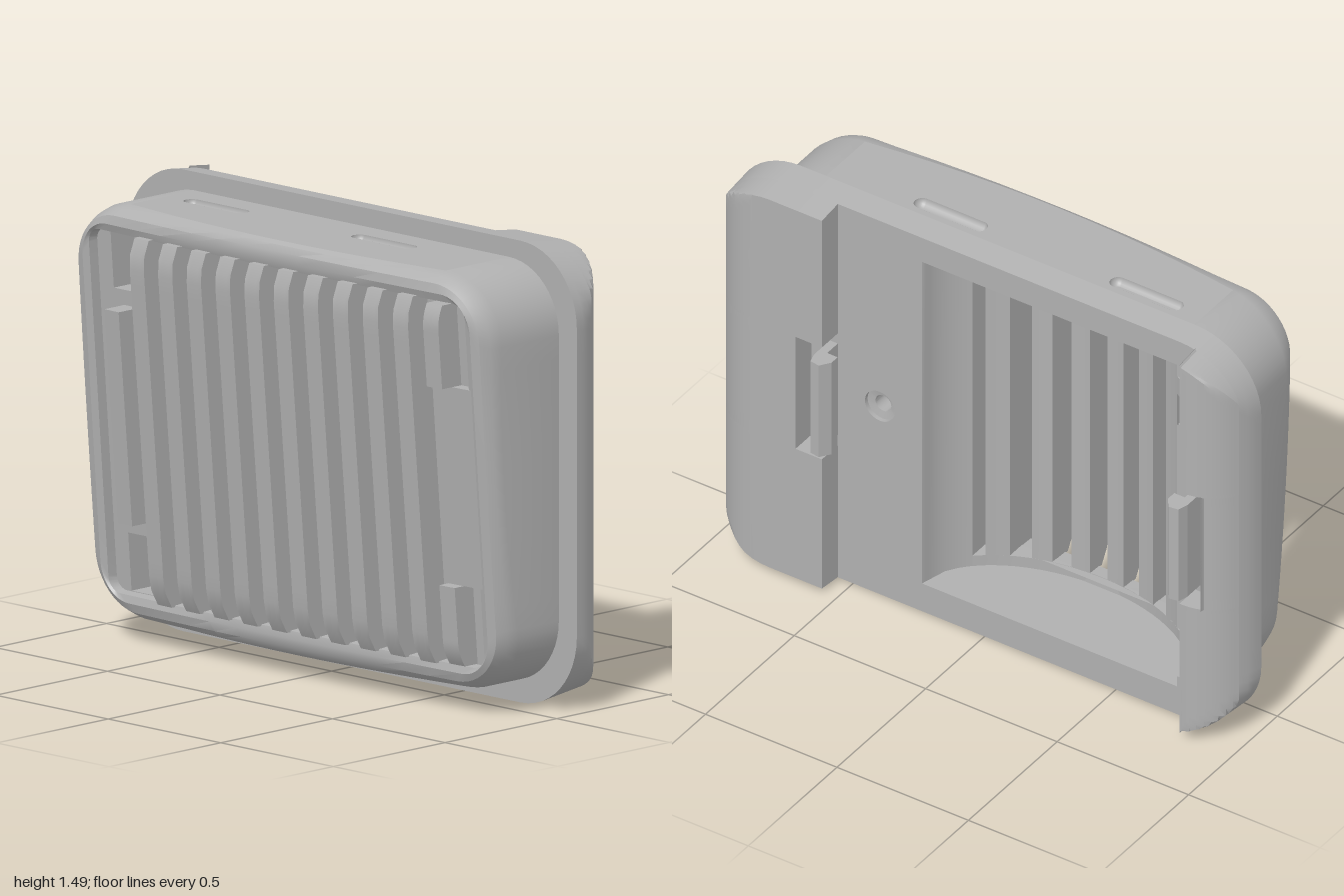
import * as THREE from 'three';
import { toCreasedNormals } from 'three/addons/utils/BufferGeometryUtils.js';

const SEG = 12, EDGE = 12, STRIDE = SEG + EDGE;

// Rounded rectangle in the z-y plane, as [z, y] pairs
function outline(hz, hy, r, yc) {
  const pts = [], sz = [1, -1, -1, 1], sy = [1, 1, -1, -1];
  const corner = (i, k) => {
    const a = (i + k / SEG) * Math.PI / 2;
    return [sz[i] * (hz - r) + r * Math.cos(a), yc + sy[i] * (hy - r) + r * Math.sin(a)];
  };
  for (let i = 0; i < 4; i++) {
    for (let k = 0; k <= SEG; k++) pts.push(corner(i, k));
    const a = corner(i, SEG), b = corner((i + 1) % 4, 0);
    for (let j = 1; j < EDGE; j++) {
      pts.push([a[0] + (b[0] - a[0]) * j / EDGE, a[1] + (b[1] - a[1]) * j / EDGE]);
    }
  }
  return pts;
}

// Skin over rings of [x, y, z] points, optionally capped on the +x end
function loft(rings, cap = false, skip = () => false) {
  const n = rings[0].length, index = [];
  for (let i = 0; i < rings.length - 1; i++) {
    for (let j = 0; j < n; j++) {
      if (skip(i, j)) continue;
      const a = i * n + j, b = i * n + (j + 1) % n;
      index.push(a, a + n, b, b, a + n, b + n);
    }
  }
  const last = (rings.length - 1) * n;
  if (cap) for (let j = 1; j < n - 1; j++) index.push(last, last + j + 1, last + j);
  const g = new THREE.BufferGeometry();
  g.setAttribute('position', new THREE.Float32BufferAttribute(rings.flat(2), 3));
  g.setIndex(index);
  return toCreasedNormals(g, 0.5);
}

// Block whose inner and outer x faces follow functions of (y, z)
function block(z0, z1, y0, y1, inner, outer, ny = 1, nz = 1) {
  const g = new THREE.BoxGeometry(1, 1, 1, 1, ny, nz), p = g.attributes.position;
  for (let i = 0; i < p.count; i++) {
    const y = y0 + (p.getY(i) + 0.5) * (y1 - y0), z = z0 + (p.getZ(i) + 0.5) * (z1 - z0);
    p.setXYZ(i, p.getX(i) > 0 ? inner(y, z) : outer(y, z), y, z);
  }
  g.computeVertexNormals();
  return g;
}

// Surfaces: sloped panel, rim crest, rim edge, curved cavity
const panelX = (y) => -0.107 - 0.08 * y;
const crestX = (y, z) => -0.167 - 0.08 * y + 0.025 * z * z;
const edgeX = (y, z) => crestX(y, z) + 0.035 + z * z * (0.02 + 0.06 * ((y - 0.75) / 0.68) ** 2);
const cavityX = (y, z) => 0.18 - 0.3 * Math.sqrt(Math.max(0, 1 - ((z + 0.255) / 0.485) ** 2));
const plateX = () => 0.18;

// Flange section: rounded rectangle cut by quarter-round ends
function flangeRing(x) {
  const s = (x - 0.09) / 0.18, hz = 0.82 + 0.18 * Math.sqrt(Math.max(0, 1 - s * s));
  return outline(1, 0.745 - 0.022 * s, 0.25, 0.745).map(([z, y]) => [x, y, Math.max(-hz, Math.min(hz, z))]);
}

export function createModel() {
  const model = new THREE.Group();
  const grey = new THREE.MeshStandardMaterial({ color: 0xb0b0b0, side: THREE.DoubleSide });
  grey.name = 'grey plastic';
  const add = (name, geometry) => {
    const m = new THREE.Mesh(geometry, grey);
    m.name = name;
    model.add(m);
    return m;
  };

  // Outer shell: recess wall, rounded rim, side wall, flange
  const bodyRing = (inset, r, fx) => outline(0.92 - inset, 0.68 - inset, r, 0.75)
    .map(([z, y]) => [fx(y, z), y, z]);
  const rings = [
    bodyRing(0.09, 0.04, (y) => panelX(y) + 0.03),
    bodyRing(0.085, 0.05, (y, z) => crestX(y, z) + 0.008),
    bodyRing(0.06, 0.12, crestX),
    bodyRing(0.03, 0.18, (y, z) => crestX(y, z) * 0.88 + edgeX(y, z) * 0.12),
    bodyRing(0.01, 0.21, (y, z) => crestX(y, z) * 0.5 + edgeX(y, z) * 0.5),
    bodyRing(0, 0.22, edgeX),
    bodyRing(0, 0.22, () => 0.09),
    ...[0.09, 0.12, 0.15, 0.18].map(flangeRing),
  ];
  const isFlatSide = (j) => [0, 2].some((e) => j >= e * STRIDE + SEG && j < (e + 1) * STRIDE);
  add('shell', loft(rings, false, (i, j) => i === 5 && isFlatSide(j)));

  // Top and bottom walls with two rounded grooves each
  const R = 0.0275, H = 0.108, GX = -0.027;
  const profile = [];
  for (let k = 0; k <= 16; k++) {
    const a = -Math.PI / 2 + k * Math.PI / 16;
    profile.push(new THREE.Vector2(R * Math.cos(a), R * Math.sin(a) + (k < 8 ? -H : H)));
  }
  for (const [name, y] of [['top', 1.43], ['bottom', 0.07]]) {
    const pts = [];
    for (let j = 0; j <= EDGE; j++) {
      const z = 0.7 - 1.4 * j / EDGE;
      pts.push(new THREE.Vector2(edgeX(y, z), -z));
    }
    pts.push(new THREE.Vector2(0.09, 0.7), new THREE.Vector2(0.09, -0.7));
    const wall = new THREE.Shape(pts);
    for (const z of [-0.485, 0.26]) {
      const hole = new THREE.Path();
      hole.absarc(GX, -z + H, R, 0, Math.PI);
      hole.absarc(GX, -z - H, R, Math.PI, 2 * Math.PI);
      hole.closePath();
      wall.holes.push(hole);
      const groove = add(name + 'Groove', new THREE.LatheGeometry(profile, 12, -Math.PI / 2, Math.PI).rotateX(Math.PI / 2));
      groove.position.set(GX, y, z);
      if (name === 'bottom') groove.rotation.z = Math.PI;
    }
    add(name + 'Wall', new THREE.ShapeGeometry(wall, 10).rotateX(-Math.PI / 2).translate(0, y, 0));
  }

  // Mounting plate with the cavity opening and screw hole
  const plate = new THREE.Shape(flangeRing(0.18).map(([, y, z]) => new THREE.Vector2(-z, y)));
  const opening = [[0.23, 0.12], [0.23, 1.385], [-0.74, 1.385], [-0.74, 1.34], [-0.77, 1.34], [-0.77, 1.15],
    [-0.74, 1.15], [-0.74, 0.35], [-0.77, 0.35], [-0.77, 0.16], [-0.74, 0.16], [-0.74, 0.12]];
  plate.holes.push(new THREE.Path(opening.map(([z, y]) => new THREE.Vector2(-z, y))));
  plate.holes.push(new THREE.Path().absarc(-0.39, 0.75, 0.057, 0, 2 * Math.PI));
  add('mountingPlate', new THREE.ShapeGeometry(plate, 12).rotateY(Math.PI / 2)).position.x = 0.18;
  const screw = [[0.03, -0.165], [0.03, 0.16], [0.057, 0.165], [0.057, 0.18]].map(([r, x]) => new THREE.Vector2(r, x));
  add('screwHole', toCreasedNormals(new THREE.LatheGeometry(screw, 24).rotateZ(-Math.PI / 2), 0.5)).position.set(0, 0.75, 0.39);

  // Raised end lugs, notched in the middle for the clips
  const lugRings = Array.from({ length: 9 }, (_, i) => flangeRing(0.18 + 0.09 * Math.sin(i * Math.PI / 16)));
  for (const [sign, wall, notch] of [[1, 0.55, 0.65], [-1, 0.81, 0.89]]) {
    for (const [y0, y1, zMin] of [[0, 0.53, wall], [0.53, 0.97, notch], [0.97, 2, wall]]) {
      const clipped = lugRings.map((ring) => ring.map(([x, y, z]) =>
        [x, Math.min(y1, Math.max(y0, y)), sign * Math.max(zMin, sign * z)]));
      add('endLug', loft(clipped, true));
    }
  }

  // Snap clips
  const hook = [[0.17, 0.58], [0.17, 0.55], [0.24, 0.55], [0.24, 0.51], [0.275, 0.51], [0.31, 0.535], [0.305, 0.57], [0.27, 0.58]];
  for (const flip of [false, true]) {
    const s = new THREE.Shape(hook.map(([x, z]) => new THREE.Vector2(x, flip ? 0.26 + z : -z)));
    add('snapClip', new THREE.ExtrudeGeometry(s, { depth: 0.36, bevelEnabled: false }).rotateX(-Math.PI / 2).translate(0, 0.57, 0));
  }

  // Cavity floor and ceiling
  for (const [y0, y1] of [[0.1, 0.12], [1.385, 1.405]]) {
    add('cavityEnd', block(-0.74, 0.23, y0, y1, plateX, cavityX, 1, 40));
  }

  // Recessed panel pieces around the open slots: z range, y range
  const panels = [
    [0.15, 0.24, 0.1, 1.4], [0.24, 0.36, 0.158, 1.342], [0.36, 0.42, 0.158, 0.72],
    [0.36, 0.42, 0.78, 1.342], [0.42, 0.832, 0.158, 1.342],
    [-0.77, 0.15, 0.1, 0.16], [-0.77, 0.15, 1.34, 1.4], [-0.832, -0.77, 0.158, 1.342],
    [-0.77, -0.6625, 0.35, 1.15], [-0.6625, -0.5975, 0.35, 0.42], [-0.6625, -0.5975, 1.08, 1.15],
  ];
  for (const [z0, z1, y0, y1] of panels) {
    const inner = z0 > 0.2 ? (y) => panelX(y) + 0.06 : (y, z) => Math.min(0.178, cavityX(y, z));
    add('recessedPanel', block(z0, z1, y0, y1, inner, panelX, 1, 24));
  }

  // Grille slats: first is split around a pad, last is short
  for (let k = 0; k < 12; k++) {
    const z = 0.735 - 0.13 * k;
    const spans = k === 0 ? [[0.16, 0.42], [1.07, 1.34]] : k === 11 ? [[0.4, 1.1]] : [[0.15, 1.35]];
    for (const [y0, y1] of spans) {
      const front = (y, zz) => {
        const d = Math.max(0, 0.24 - y, y - 1.26) / 0.09;
        return -0.204 - 0.0866 * y + 0.03 * zz * zz + 0.03 * d * d;
      };
      const back = z < 0.15 ? cavityX : (y) => panelX(y) + 0.03;
      add('grilleSlat', block(z - 0.0325, z + 0.0325, y0, y1, back, front, 24, 4));
    }
  }
  add('rimPad', block(0.69, 0.85, 0.42, 1.07, panelX, (y, z) => crestX(y, z) + 0.004, 8, 4));

  return model;
}
